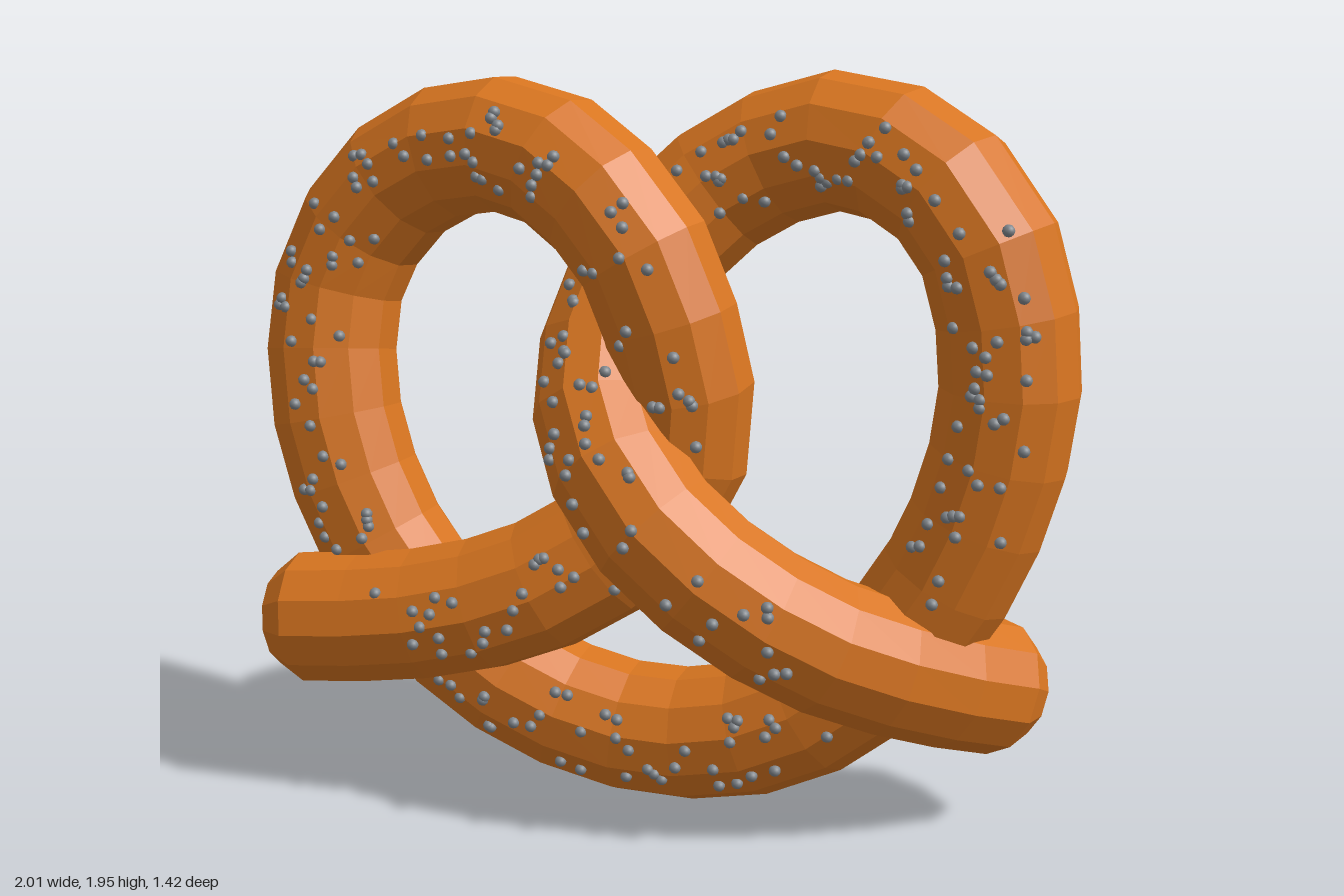
import * as THREE from 'three';
import { mergeGeometries } from 'three/addons/utils/BufferGeometryUtils.js';

const RADIUS = 0.18;
const SIDES = 12;
const SEGMENTS = 54;

// Centre line of the dough rope, from one loose end to the other
const PATH = [
  [-0.72, 0.465, 0.55], [-0.42, 0.51, 0.39], [-0.13, 0.62, 0.21], [0.07, 0.81, 0.04],
  [0.16, 1.05, -0.03], [0.15, 1.3, 0], [0.04, 1.56, 0.05], [-0.28, 1.75, 0.11],
  [-0.62, 1.68, 0.21], [-0.82, 1.4, 0.32], [-0.79, 1.02, 0.385], [-0.62, 0.6, 0.32],
  [-0.34, 0.3, 0.15], [0, 0.183, -0.05], [0.34, 0.26, -0.22], [0.61, 0.52, -0.38],
  [0.78, 0.9, -0.48], [0.825, 1.28, -0.51], [0.71, 1.63, -0.48], [0.38, 1.785, -0.42],
  [0.07, 1.67, -0.29], [-0.09, 1.4, -0.08], [-0.02, 1.13, 0.1], [0.17, 0.92, 0.17],
  [0.37, 0.73, 0.09], [0.56, 0.56, -0.11], [0.69, 0.45, -0.36], [0.75, 0.375, -0.59],
].map((p) => new THREE.Vector3(...p));

function seeded(seed) {
  return () => {
    seed = (seed * 16807) % 2147483647;
    return seed / 2147483647;
  };
}

// Tapered end, lined up with the sides of the rope
function endCap(point, outward, normal, material) {
  const profile = [[RADIUS, 0], [0.13, 0.075], [0, 0.1]].map((p) => new THREE.Vector2(...p));
  const cap = new THREE.Mesh(new THREE.LatheGeometry(profile, SIDES), material);
  const side = new THREE.Vector3().crossVectors(normal, outward);
  cap.quaternion.setFromRotationMatrix(new THREE.Matrix4().makeBasis(normal, outward, side));
  cap.position.copy(point);
  return cap;
}

// Salt grains scattered over the front of the rope
function saltGeometry(curve) {
  const random = seeded(4217);
  const front = new THREE.Vector3(0.42, 0, 0.91).normalize();
  const samples = curve.getSpacedPoints(150);
  const grains = [];
  for (let n = 0; n < 320; n++) {
    const u = 0.03 + 0.91 * random();
    const angle = (random() - 0.5) * 1.25;
    const tangent = curve.getTangentAt(u);
    const out = front.clone().addScaledVector(tangent, -front.dot(tangent)).normalize();
    out.applyAxisAngle(tangent, angle);
    const p = curve.getPointAt(u).addScaledVector(out, RADIUS * 0.98);
    // Leave out grains buried in a crossing strand
    const buried = samples.some((s, i) =>
      Math.abs(i / 150 - u) > 0.06 && s.distanceTo(p) < RADIUS + 0.01);
    if (!buried) grains.push(new THREE.IcosahedronGeometry(0.016, 1).translate(p.x, p.y, p.z));
  }
  return mergeGeometries(grains);
}

export function createModel() {
  const model = new THREE.Group();
  model.name = 'pretzel';
  const dough = new THREE.MeshStandardMaterial({ color: 0xd87520, flatShading: true });
  const saltMaterial = new THREE.MeshStandardMaterial({ color: 0x81878d });

  const curve = new THREE.CatmullRomCurve3(PATH, false, 'centripetal');
  const rope = new THREE.Mesh(
    new THREE.TubeGeometry(curve, SEGMENTS, RADIUS, SIDES, false), dough);
  rope.name = 'doughRope';
  model.add(rope);

  // Loose ends
  const frames = curve.computeFrenetFrames(SEGMENTS, false);
  const rightEnd = endCap(PATH[0], frames.tangents[0].clone().negate(), frames.normals[0], dough);
  rightEnd.name = 'rightEnd';
  const leftEnd = endCap(
    PATH[PATH.length - 1], frames.tangents[SEGMENTS], frames.normals[SEGMENTS], dough);
  leftEnd.name = 'leftEnd';
  model.add(rightEnd, leftEnd);

  const salt = new THREE.Mesh(saltGeometry(curve), saltMaterial);
  salt.name = 'saltGrains';
  model.add(salt);
  return model;
}
